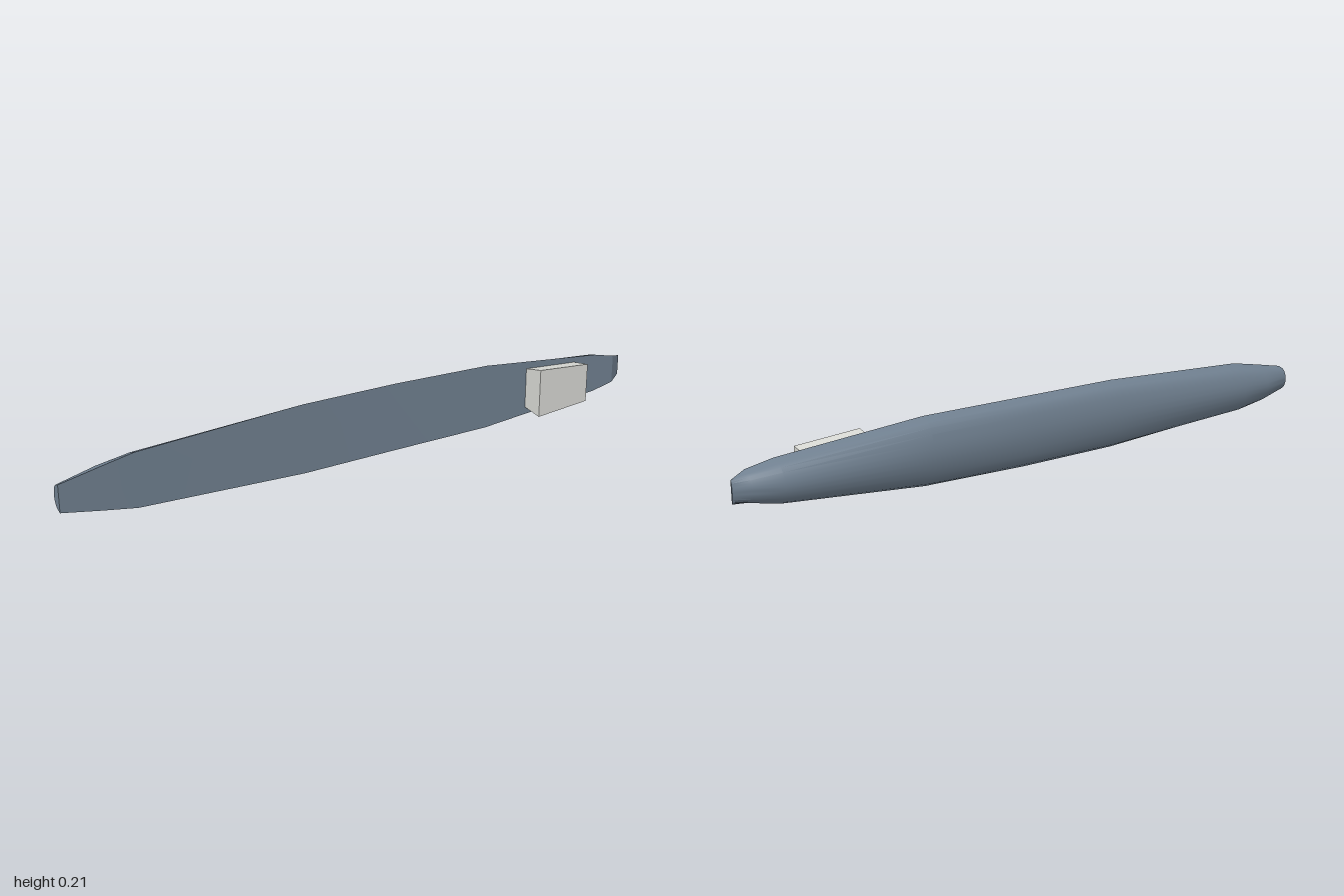
import * as THREE from 'three';
import { toCreasedNormals } from 'three/addons/utils/BufferGeometryUtils.js';

const CENTRE_Y = 0.109;

// Lofts equal-sized closed rings laid out along +x, closing both ends.
// Each ring runs from the top, round the back, to the bottom.
function loft(rings) {
  const n = rings[0].length;
  const index = [];
  for (let i = 0; i < rings.length - 1; i++) {
    for (let j = 0; j < n; j++) {
      const k = (j + 1) % n;
      const a = i * n + j, b = a + n, c = i * n + k, d = c + n;
      index.push(a, b, c, b, d, c);
    }
  }
  const last = (rings.length - 1) * n;
  for (let j = 1; j < n - 1; j++) {
    index.push(0, j, j + 1);
    index.push(last, last + j + 1, last + j);
  }
  const geometry = new THREE.BufferGeometry();
  geometry.setAttribute('position', new THREE.Float32BufferAttribute(rings.flat(2), 3));
  geometry.setIndex(index);
  return toCreasedNormals(geometry, 0.45);
}

export function createModel() {
  const hullPaint = new THREE.MeshStandardMaterial({ color: 0x708090 });
  hullPaint.name = 'slate hull paint';
  const cabinPaint = new THREE.MeshStandardMaterial({ color: 0xd8d9d4 });
  cabinPaint.name = 'pale cabin paint';

  const model = new THREE.Group();
  model.name = 'boat';

  // Stations: x, half beam, deck z, keel z
  const stations = [
    [-1, 0.04, 0.004, -0.03],
    [-0.88, 0.063, 0.002, -0.065],
    [-0.78, 0.081, 0, -0.065],
    [-0.25, 0.107, -0.011, -0.065],
    [0.08, 0.107, -0.015, -0.065],
    [0.42, 0.103, -0.008, -0.065],
    [0.87, 0.063, 0.002, -0.065],
    [0.95, 0.046, 0.005, -0.043],
    [1, 0.033, -0.02, -0.027],
  ];

  // Half section: share of the half beam, share of the depth
  const half = [[1, 0], [0.86, 0.5], [0.75, 0.68], [0.58, 0.82], [0.38, 0.92], [0.19, 0.98]];
  const section = [...half, [0, 1], ...half.map(([w, d]) => [-w, d]).reverse()];

  // Hull with its flat deck, transom and sloping bow plate
  const hull = new THREE.Mesh(
    loft(stations.map(([x, beam, deck, keel]) =>
      section.map(([w, d]) => [x, CENTRE_Y + w * beam, deck + (keel - deck) * d]))),
    hullPaint
  );
  hull.name = 'hull';
  model.add(hull);

  // Deckhouse, flaring outward from the deck and narrowing toward the bow
  const house = (x, roof, base) => [
    [x, CENTRE_Y + roof, 0.065],
    [x, CENTRE_Y + base, -0.006],
    [x, CENTRE_Y - base, -0.006],
    [x, CENTRE_Y - roof, 0.065],
  ];
  const deckhouse = new THREE.Mesh(
    loft([house(0.58, 0.078, 0.065), house(0.78, 0.063, 0.052)]),
    cabinPaint
  );
  deckhouse.name = 'deckhouse';
  model.add(deckhouse);

  return model;
}
